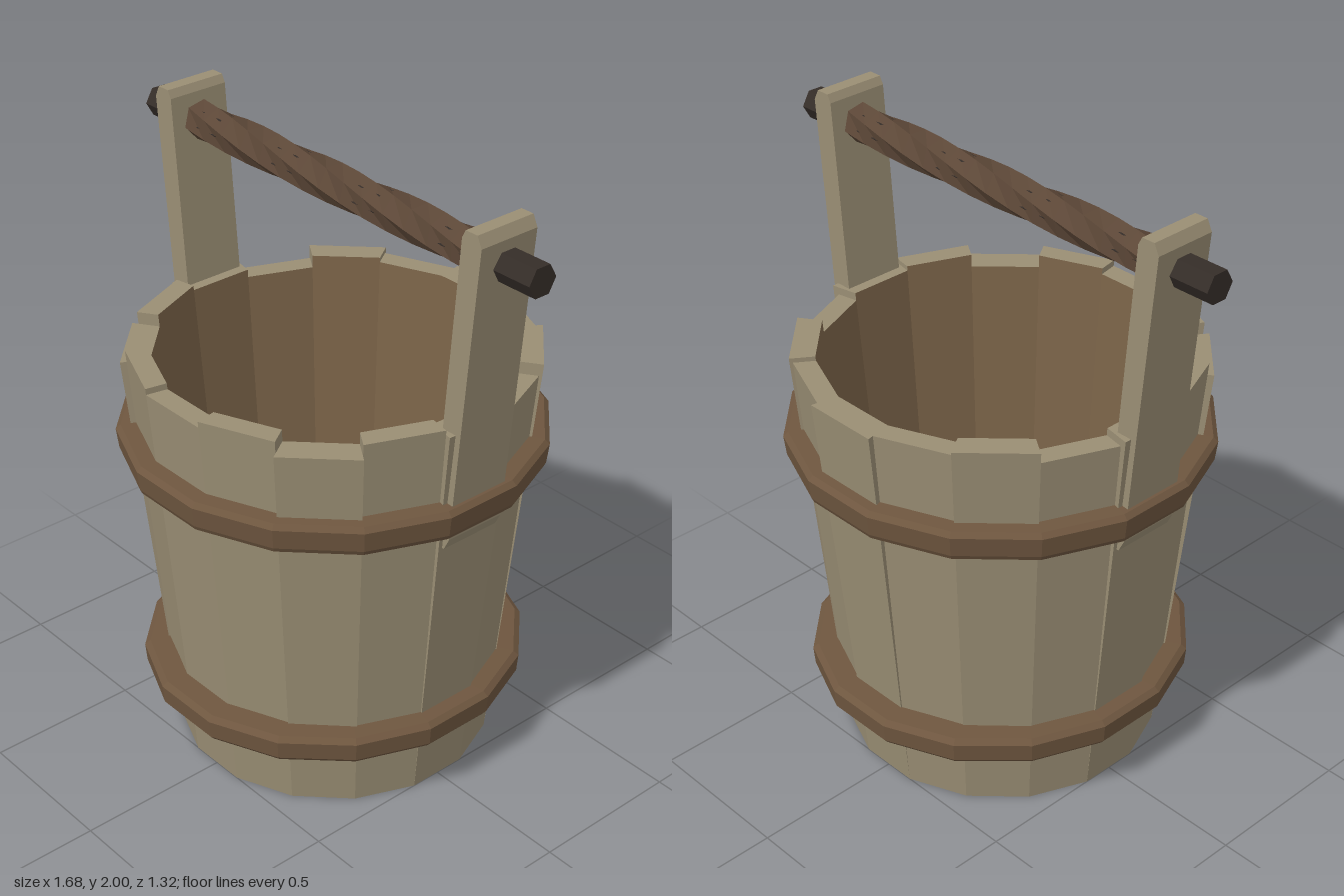
import * as THREE from 'three';

const SIDES = 16;
const HALF = Math.PI / SIDES;
const material = (color) => new THREE.MeshStandardMaterial({ color, flatShading: true });

// One tapered stave: a box pushed out to the bucket wall, cut along radial planes
function staveGeometry(height, lean) {
  const geo = new THREE.BoxGeometry(1, 1, 1);
  const p = geo.attributes.position;
  for (let i = 0; i < p.count; i++) {
    const y = (p.getY(i) + 0.5) * height;
    const outer = p.getZ(i) > 0;
    const r = (outer ? 0.5 : 0.432) + 0.087 * y + (outer ? lean * y / height : 0);
    p.setXYZ(i, 2 * p.getX(i) * r * Math.tan(HALF), y, r);
  }
  geo.computeVertexNormals();
  return geo;
}

// Faceted ring from a closed profile of [flat radius, y]
function hoopGeometry(profile) {
  const pts = [...profile, profile[0]].map(([r, y]) => new THREE.Vector2(r / Math.cos(HALF), y));
  return new THREE.LatheGeometry(pts, SIDES, HALF);
}

export function createModel() {
  const model = new THREE.Group();
  const wood = material(0x9a8e74);
  const innerWood = material(0x7a6348);
  const hoopWood = material(0x6e563f);
  const gripWood = material(0x5c4737);
  const rodWood = material(0x352d28);

  const add = (name, geo, mat, parent = model) => {
    const mesh = new THREE.Mesh(geo, mat);
    mesh.name = name;
    parent.add(mesh);
    return mesh;
  };

  // Staves of uneven height and lean, mirrored left to right from front to back
  const heights = [1.355, 1.375, 1.335, 1.375, 1.36, 1.335, 1.375, 1.36, 1.36];
  const leans = [0, 0, 0.02, 0, 0.02, 0, 0.01, 0, 0.02];
  const staves = new THREE.Group();
  staves.name = 'staves';
  model.add(staves);
  for (let i = 0; i < SIDES; i++) {
    const k = Math.min(i, SIDES - i);
    const mats = [wood, wood, wood, wood, wood, innerWood];
    add('stave', staveGeometry(heights[k], leans[k]), mats, staves).rotation.y = i * 2 * HALF;
  }

  // Floor of the bucket
  const floorGeo = new THREE.CylinderGeometry(0.455, 0.455, 0.1, SIDES, 1, false, HALF);
  add('floor', floorGeo, [innerWood, innerWood, wood]).position.y = 0.05;

  // Hoops with bevelled edges
  add('upperHoop', hoopGeometry([[0.57, 1.015], [0.645, 1.025], [0.652, 1.04], [0.66, 1.105], [0.645, 1.12], [0.58, 1.125]]), hoopWood);
  const lower = add('lowerHoop', hoopGeometry([[0.5, 0.215], [0.575, 0.22], [0.587, 0.235], [0.592, 0.295], [0.575, 0.31], [0.51, 0.315]]), hoopWood);
  lower.scale.z = 1.04;

  // Slanted uprights with chamfered ends
  const outline = [[0.553, 0.96], [0.605, 0.96], [0.625, 1.0], [0.712, 1.965], [0.695, 2], [0.65, 2], [0.637, 1.975]];
  const upright = new THREE.ExtrudeGeometry(
    new THREE.Shape(outline.map(([x, y]) => new THREE.Vector2(x, y))),
    { depth: 0.21, bevelEnabled: false });
  upright.translate(0, 0, -0.105);
  add('leftUpright', upright, wood);
  add('rightUpright', upright, wood).rotation.y = Math.PI;

  // Six-sided rod through the uprights
  const rod = new THREE.CylinderGeometry(0.051, 0.051, 1.68, 6);
  rod.rotateZ(Math.PI / 2);
  add('handleRod', rod, rodWood).position.y = 1.885;

  // Twisted grip between the uprights
  const grip = new THREE.CylinderGeometry(0.062, 0.062, 1.27, 6, 14);
  const p = grip.attributes.position;
  const v = new THREE.Vector3();
  const axis = new THREE.Vector3(0, 1, 0);
  for (let i = 0; i < p.count; i++) {
    v.fromBufferAttribute(p, i);
    v.applyAxisAngle(axis, v.y * 3);
    p.setXYZ(i, v.x, v.y, v.z);
  }
  grip.rotateZ(Math.PI / 2);
  grip.computeVertexNormals();
  add('handleGrip', grip, gripWood).position.y = 1.885;

  return model;
}
